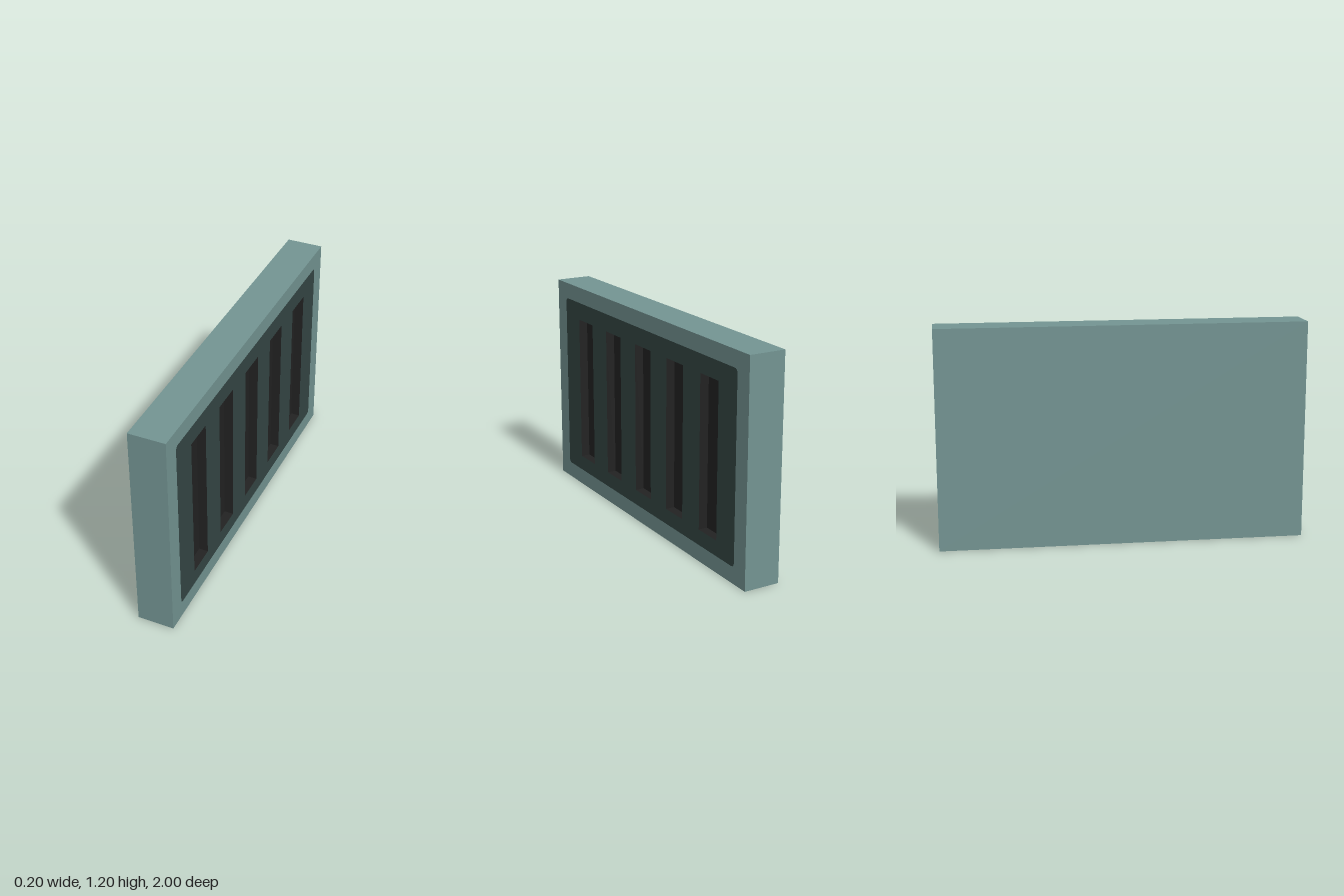
import * as THREE from 'three';

const DEPTH = 0.2, HEIGHT = 1.2, LENGTH = 2;
const SLOT = { width: 0.165, height: 0.835, depth: 0.05, pitch: 0.328, y: 0.593 };

// Rectangle outline centred on (0, y); corner radius r may be zero
function rect(target, w, h, x, y, r = 0) {
  const l = x - w / 2, R = x + w / 2, b = y - h / 2, t = y + h / 2;
  target.moveTo(l + r, b).lineTo(R - r, b);
  if (r) target.quadraticCurveTo(R, b, R, b + r);
  target.lineTo(R, t - r);
  if (r) target.quadraticCurveTo(R, t, R - r, t);
  target.lineTo(l + r, t);
  if (r) target.quadraticCurveTo(l, t, l, t - r);
  target.lineTo(l, b + r);
  if (r) target.quadraticCurveTo(l, b, l + r, b);
  return target;
}

// Box without its +x face; inward turns it into a recess
function openBox(x, y, z, inward = false) {
  const geo = new THREE.BoxGeometry(x, y, z);
  const index = Array.from(geo.index.array).slice(6);
  geo.setIndex(inward ? index.reverse() : index);
  geo.clearGroups();
  geo.computeVertexNormals();
  return geo;
}

export function createModel() {
  const casingColour = new THREE.MeshStandardMaterial({ color: 0x739492 });
  casingColour.name = 'greyTeal';
  const panelColour = new THREE.MeshStandardMaterial({ color: 0x344644 });
  panelColour.name = 'darkTeal';
  const slotColour = new THREE.MeshStandardMaterial({ color: 0x222222 });
  slotColour.name = 'nearBlack';

  const group = new THREE.Group();
  const add = (name, geo, mat, x, y, z) => {
    const mesh = new THREE.Mesh(geo, mat);
    mesh.name = name;
    mesh.position.set(x, y, z);
    group.add(mesh);
    return mesh;
  };

  // Casing: plain on every side but the grille side
  add('casing', openBox(DEPTH, HEIGHT, LENGTH), casingColour, 0, HEIGHT / 2, 0);

  // Flush rim around the grille panel
  const rim = rect(new THREE.Shape(), LENGTH, HEIGHT, 0, HEIGHT / 2);
  rim.holes.push(rect(new THREE.Path(), 1.8, 1.02, 0, HEIGHT / 2, 0.025));
  add('rim', new THREE.ShapeGeometry(rim, 4), casingColour, DEPTH / 2, 0, 0).rotation.y = Math.PI / 2;

  // Grille panel pierced by five recessed slots
  const panel = rect(new THREE.Shape(), 1.8, 1.02, 0, HEIGHT / 2, 0.025);
  for (let i = -2; i <= 2; i++) {
    const z = i * SLOT.pitch;
    panel.holes.push(rect(new THREE.Path(), SLOT.width, SLOT.height, -z, SLOT.y));
    add('slot', openBox(SLOT.depth, SLOT.height, SLOT.width, true), slotColour,
      DEPTH / 2 - SLOT.depth / 2, SLOT.y, z);
  }
  add('grillePanel', new THREE.ShapeGeometry(panel, 4), panelColour, DEPTH / 2, 0, 0).rotation.y = Math.PI / 2;

  return group;
}
